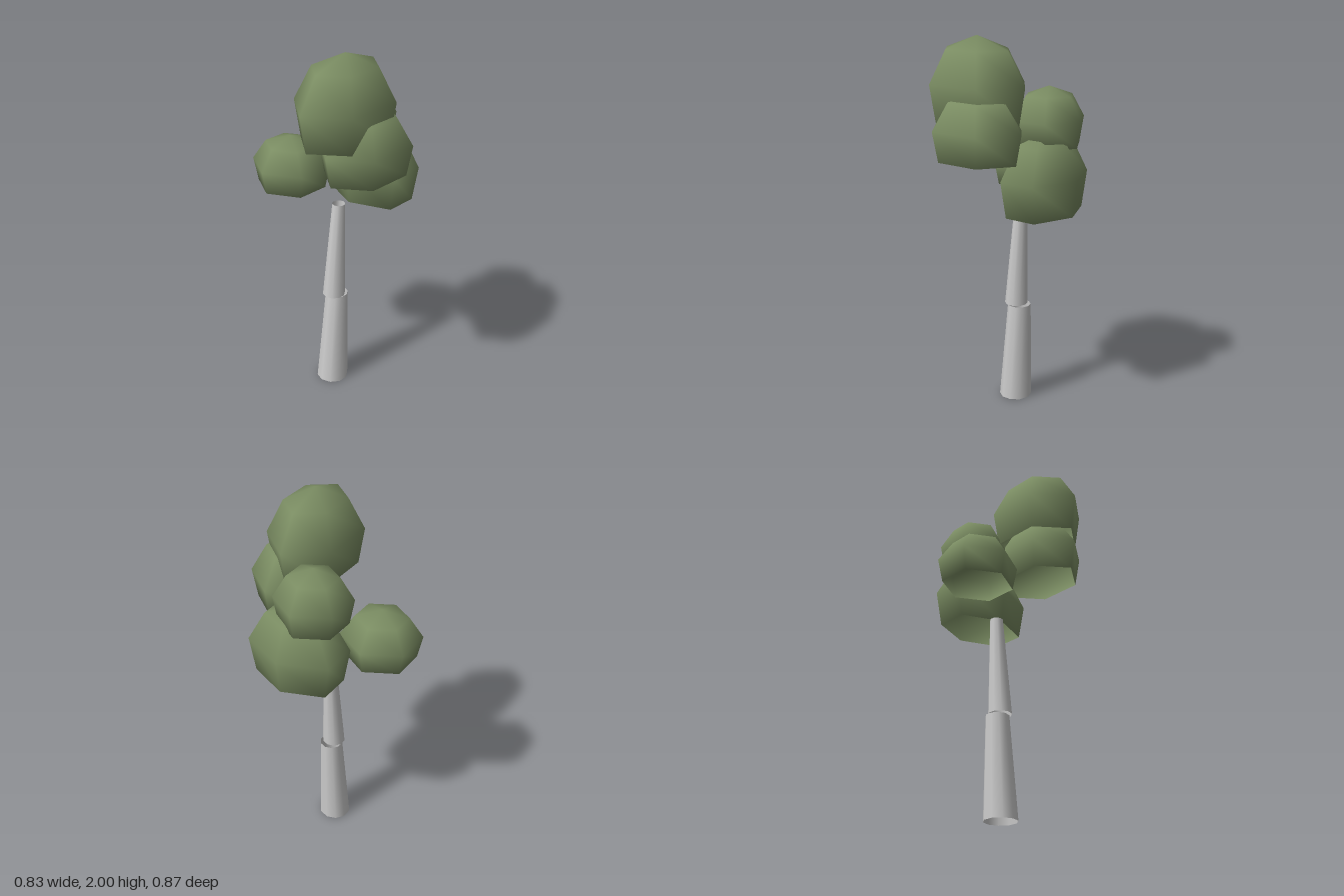
import * as THREE from 'three';

const bark = new THREE.MeshStandardMaterial({ color: 0xcccccc, side: THREE.DoubleSide });
const leaf = new THREE.MeshStandardMaterial({ color: 0x7a8c62, side: THREE.DoubleSide });

// Open tapered trunk piece leaning from point a to point b, with level ends
function trunkPiece(name, a, ra, b, rb) {
  const h = b[1] - a[1];
  const g = new THREE.CylinderGeometry(rb, ra, h, 10, 1, true);
  g.rotateY(Math.PI / 2).translate(0, h / 2, 0);
  g.applyMatrix4(new THREE.Matrix4().set(
    1, (b[0] - a[0]) / h, 0, a[0],
    0, 1, 0, a[1],
    0, (b[2] - a[2]) / h, 1, a[2],
    0, 0, 0, 1));
  const mesh = new THREE.Mesh(g, bark);
  mesh.name = name;
  return mesh;
}

// Six-sided smooth dome, open below; hx and hz are half extents in plan
function leafClump(name, [x, z], [hx, hz], bottom, top) {
  const r = (top - bottom) / 1.5;
  const g = new THREE.SphereGeometry(1, 6, 3, 0, Math.PI * 2, 0, Math.PI * 2 / 3);
  g.scale(hx / Math.sin(Math.PI / 3), r, hz / 0.75);
  const mesh = new THREE.Mesh(g, leaf);
  mesh.position.set(x, bottom + r / 2, z);
  mesh.name = name;
  return mesh;
}

export function createModel() {
  const tree = new THREE.Group();
  tree.name = 'tree';

  // Trunk in two offset pieces
  tree.add(
    trunkPiece('lowerTrunk', [-0.022, 0, -0.018], 0.0875, [0.008, 0.55, -0.013], 0.062),
    trunkPiece('upperTrunk', [-0.013, 0.553, -0.014], 0.062, [0.02, 1.1, -0.01], 0.035));

  // Foliage
  tree.add(
    leafClump('topClump', [-0.122, 0.168], [0.262, 0.171], 1.57, 2.0),
    leafClump('frontClump', [-0.06, 0.247], [0.24, 0.164], 1.39, 1.74),
    leafClump('upperLeftClump', [0.182, -0.025], [0.172, 0.153], 1.455, 1.755),
    leafClump('lowerLeftClump', [0.211, 0.046], [0.171, 0.213], 1.12, 1.54),
    leafClump('backClump', [-0.095, -0.248], [0.18, 0.163], 1.18, 1.455));

  return tree;
}
